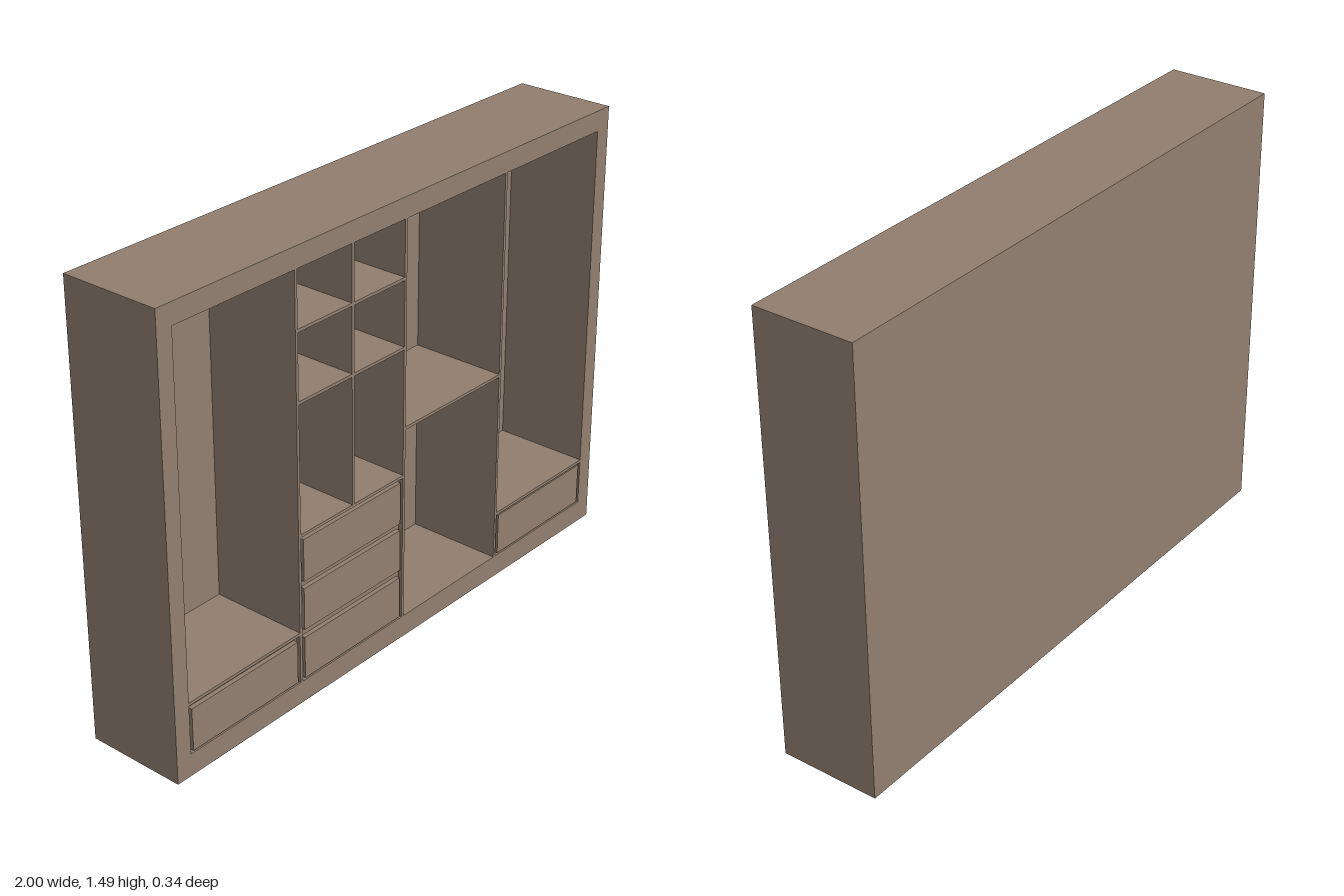
import * as THREE from 'three';

export function createModel() {
  const root = new THREE.Group();
  root.name = 'wardrobe';
  const wood = new THREE.MeshStandardMaterial({ color: 0x917f70 });
  wood.name = 'taupe wood';
  const steel = new THREE.MeshStandardMaterial({ color: 0xc4ccd2 });
  steel.name = 'rail steel';

  const FRONT = 0.17, BACK = -0.17, T = 0.01;
  const L = -0.944, R = 0.944, B = 0.075, TOP = 1.417, H = 1.485;
  const inner = BACK + T;

  // Box given by its two extreme corners
  function box(name, x0, x1, y0, y1, z0 = inner, z1 = FRONT) {
    const mesh = new THREE.Mesh(new THREE.BoxGeometry(x1 - x0, y1 - y0, z1 - z0), wood);
    mesh.position.set((x0 + x1) / 2, (y0 + y1) / 2, (z0 + z1) / 2);
    mesh.name = name;
    root.add(mesh);
  }

  // Outer carcass: thick surround, closed at the back
  const outline = new THREE.Shape([[-1, 0], [1, 0], [1, H], [-1, H]].map(p => new THREE.Vector2(...p)));
  outline.holes.push(new THREE.Path([[L, B], [L, TOP], [R, TOP], [R, B]].map(p => new THREE.Vector2(...p))));
  const surround = new THREE.Mesh(
    new THREE.ExtrudeGeometry(outline, { depth: FRONT - inner, bevelEnabled: false }), wood);
  surround.position.z = inner;
  surround.name = 'surround';
  root.add(surround);
  box('backPanel', -1, 1, 0, H, BACK, inner);

  // Full-height dividers and the four bays between them
  const dividers = [-0.473, -0.001, 0.471];
  dividers.forEach(x => box('divider', x - T / 2, x + T / 2, B, TOP));
  const edges = [L - T / 2, ...dividers, R + T / 2];
  const bays = [0, 1, 2, 3].map(i => [edges[i] + T / 2, edges[i + 1] - T / 2]);

  // Shelves: bay index, centre height
  [[0, 0.245], [1, 0.577], [1, 1.008], [1, 1.231], [2, 0.739], [3, 0.234]].forEach(([bay, y]) =>
    box('shelf', bays[bay][0], bays[bay][1], y - T / 2, y + T / 2));

  // Upright splitting the cubbyholes, in one piece between each pair of shelves
  [[0.582, 1.003], [1.013, 1.226], [1.236, TOP]].forEach(([y0, y1]) =>
    box('cubbyUpright', -0.24, -0.23, y0, y1));

  // Drawer blocks with raised fronts: bay index, block top, bottoms of the fronts
  const face = FRONT - 0.015;
  [[0, 0.24, [0.081]], [1, 0.572, [0.081, 0.251, 0.418]], [3, 0.229, [0.081]]].forEach(([bay, top, rows]) => {
    const [x0, x1] = bays[bay];
    box('drawerBlock', x0, x1, B, top, inner, face);
    rows.forEach(y => box('drawerFront', x0 + 0.011, x1 - 0.011, y, y + 0.143, face, FRONT));
  });

  // Hanging rails: bay index, height, depth
  [[0, 1.327, -0.06], [2, 1.327, -0.06], [3, 1.327, -0.06], [2, 0.637, 0]].forEach(([bay, y, z]) => {
    const [x0, x1] = bays[bay];
    const rail = new THREE.Mesh(new THREE.CylinderGeometry(0.013, 0.013, x1 - x0, 24), steel);
    rail.rotation.z = Math.PI / 2;
    rail.position.set((x0 + x1) / 2, y, z);
    rail.name = 'hangingRail';
    root.add(rail);
  });

  return root;
}
